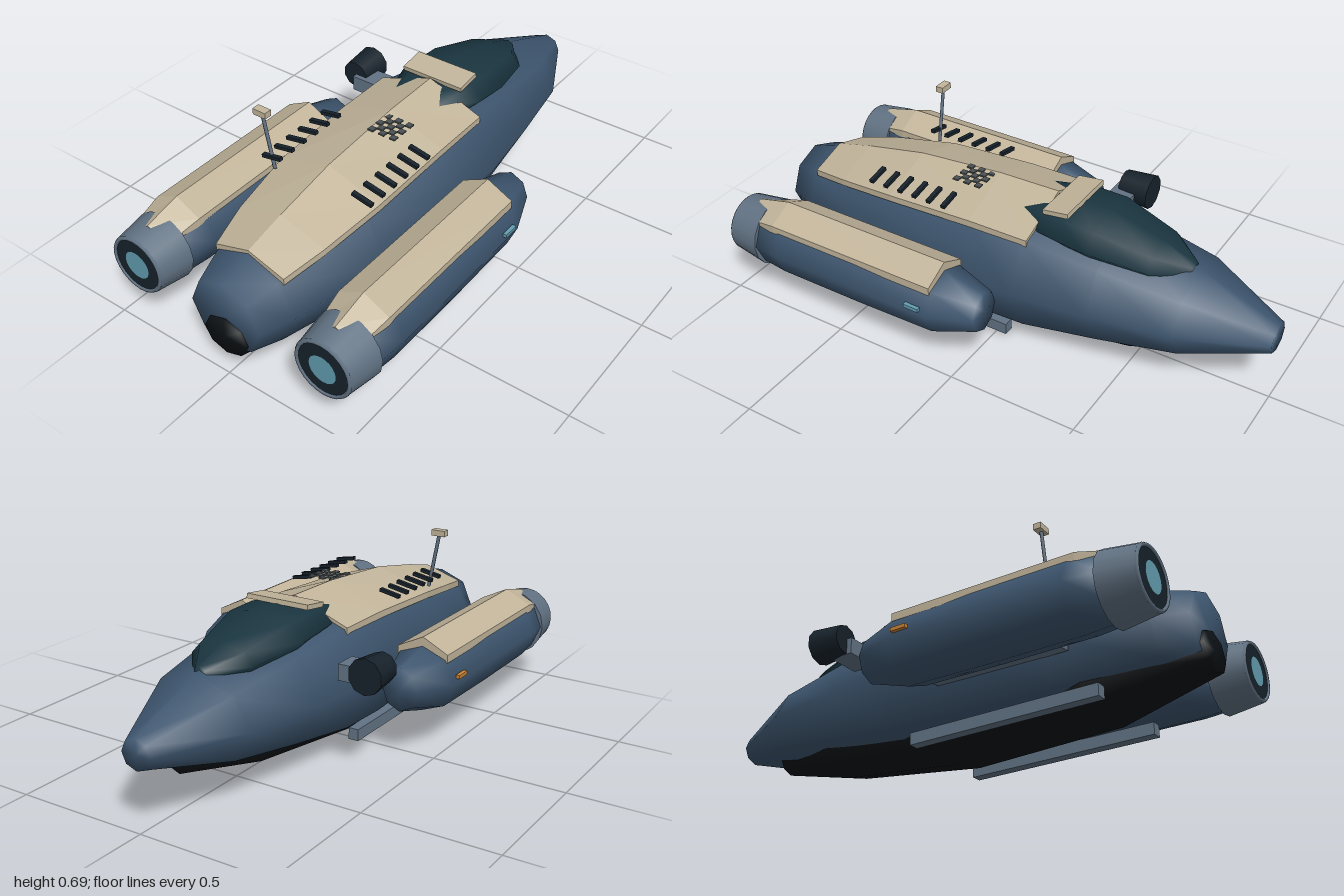
import * as THREE from 'three';

const mat = (color, extra = {}) => new THREE.MeshStandardMaterial({ color, ...extra });
const BLUE = mat(0x3d556e);
const CREAM = mat(0xc2b59b, { flatShading: true });
const GLASS = mat(0x1a3540);
const BLACK = mat(0x0d1216);
const DARK = mat(0x17222b);
const GREY = mat(0x627384);
const GLOW = mat(0x639db0);
const ORANGE = mat(0xc98235);

// Skin a list of equal-length rings (counter-clockwise seen from +z, ordered by z) and cap both ends
function loft(rings) {
  const n = rings[0].length, pos = rings.flat(2), idx = [];
  for (let i = 0; i < rings.length - 1; i++) {
    for (let j = 0; j < n; j++) {
      const a = i * n + j, b = i * n + (j + 1) % n;
      idx.push(a, b, b + n, a, b + n, a + n);
    }
  }
  [0, rings.length - 1].forEach((r) => {
    const c = pos.length / 3;
    for (let k = 0; k < 3; k++) pos.push(rings[r].reduce((s, p) => s + p[k], 0) / n);
    for (let j = 0; j < n; j++) {
      const a = r * n + j, b = r * n + (j + 1) % n;
      if (r) idx.push(c, a, b); else idx.push(c, b, a);
    }
  });
  const g = new THREE.BufferGeometry();
  g.setAttribute('position', new THREE.Float32BufferAttribute(pos, 3));
  g.setIndex(idx);
  g.computeVertexNormals();
  return g;
}

// Eight-sided body from stations [z, halfWidth, top, bottom]
const octBody = (stations) => loft(stations.map(([z, w, top, bottom]) =>
  Array.from({ length: 8 }, (_, k) => {
    const a = k * Math.PI / 4;
    return [w * Math.cos(a), (top + bottom) / 2 + (top - bottom) / 2 * Math.sin(a), z];
  })));

// Ridged roof plate from stations [z, halfWidth, ridgeY, edgeY]
const roofPlate = (stations, t) => loft(stations.map(([z, w, r, e]) => [
  [w, e - t, z], [w, e, z], [0, r, z], [-w, e, z], [-w, e - t, z], [0, r - t, z]]));

function add(parent, name, geometry, material, x = 0, y = 0, z = 0) {
  const m = new THREE.Mesh(geometry, material);
  m.name = name;
  m.position.set(x, y, z);
  parent.add(m);
  return m;
}
const box = (w, h, d) => new THREE.BoxGeometry(w, h, d);
// Cylinder lying along z: r1 at the +z end, r2 at the -z end
const zCyl = (r1, r2, len, sides) => new THREE.CylinderGeometry(r1, r2, len, sides).rotateX(Math.PI / 2);

function createEngine(side) {
  const g = new THREE.Group();
  g.name = side > 0 ? 'leftEngine' : 'rightEngine';
  g.position.set(side * 0.4, 0, 0);
  add(g, 'enginePod', octBody([
    [-0.08, 0.07, 0.35, 0.19], [0.08, 0.13, 0.385, 0.14], [0.4, 0.135, 0.395, 0.135],
    [0.75, 0.135, 0.395, 0.135], [0.88, 0.12, 0.375, 0.145]]), BLUE);
  add(g, 'engineTopPlate', roofPlate([
    [0.08, 0.1, 0.42, 0.37], [0.78, 0.1, 0.42, 0.37], [0.92, 0.08, 0.385, 0.34]], 0.03), CREAM);
  // Nozzle with a rim, dark throat and glowing core
  add(g, 'nozzle', zCyl(0.112, 0.13, 0.13, 16), GREY, 0, 0.26, 0.92);
  add(g, 'nozzleRim', new THREE.TorusGeometry(0.104, 0.008, 6, 24), GREY, 0, 0.26, 0.985);
  add(g, 'nozzleThroat', new THREE.CircleGeometry(0.102, 24), DARK, 0, 0.26, 0.987);
  add(g, 'nozzleCore', new THREE.CircleGeometry(0.055, 20), GLOW, 0, 0.26, 0.99);
  add(g, 'runningLight', box(0.015, 0.014, 0.06), side > 0 ? GLOW : ORANGE, side * 0.13, 0.287, 0.135);
  return g;
}

export function createModel() {
  const ship = new THREE.Group();
  ship.name = 'ship';

  // Fuselage, nose towards -z
  add(ship, 'hull', octBody([
    [-1, 0.06, 0.33, 0.22], [-0.7, 0.21, 0.445, 0.13], [-0.4, 0.26, 0.5, 0.07],
    [-0.12, 0.3, 0.555, 0.02], [0.1, 0.3, 0.55, 0.012], [0.5, 0.275, 0.51, 0.025],
    [0.87, 0.19, 0.425, 0.085], [0.99, 0.145, 0.39, 0.115]]), BLUE);
  add(ship, 'belly', octBody([
    [-0.8, 0.06, 0.25, 0.132], [-0.5, 0.15, 0.25, 0.06], [0, 0.205, 0.22, 0.005],
    [0.6, 0.185, 0.22, 0.022], [1, 0.09, 0.245, 0.1]]), BLACK);
  add(ship, 'canopy', octBody([
    [-0.68, 0.03, 0.462, 0.39], [-0.56, 0.13, 0.51, 0.39], [-0.35, 0.18, 0.565, 0.4],
    [-0.22, 0.18, 0.562, 0.43], [-0.02, 0.13, 0.54, 0.42]]), GLASS);
  add(ship, 'roofPanel', roofPlate([
    [-0.14, 0.22, 0.565, 0.482], [0.1, 0.22, 0.56, 0.48], [0.45, 0.215, 0.53, 0.46],
    [0.7, 0.182, 0.48, 0.425], [0.86, 0.145, 0.44, 0.395]], 0.025), CREAM);
  add(ship, 'lightBar', box(0.256, 0.018, 0.1), CREAM, 0, 0.562, -0.2).rotation.x = 0.14;

  // Checkered roof marking
  const checker = new THREE.Group();
  checker.name = 'checkerMarking';
  ship.add(checker);
  for (let i = 0; i < 5; i++) {
    for (let j = 0; j < 5; j++) {
      if ((i + j) % 2 === 0) add(checker, 'check', box(0.023, 0.006, 0.023), mat(0x4b5254), 0.0115 + i * 0.023, 0.552, 0.132 + j * 0.023);
    }
  }

  for (const s of [1, -1]) {
    ship.add(createEngine(s));
    add(ship, 'pylon', box(0.1, 0.06, 0.5), GREY, s * 0.29, 0.215, 0.35).rotation.z = -s * 0.15;
    add(ship, 'skid', box(0.04, 0.045, 0.74), GREY, s * 0.195, 0.0425, 0.32);
    for (let i = 0; i < 6; i++) {
      add(ship, 'vent', box(0.082, 0.013, 0.017), DARK, s * 0.194, 0.517, 0.2 + i * 0.063).rotation.z = -s * 0.19;
    }
  }

  // Sensor pod on the right flank
  add(ship, 'sensorMount', box(0.13, 0.06, 0.09), GREY, -0.33, 0.37, -0.225);
  add(ship, 'sensorPod', zCyl(0.055, 0.066, 0.12, 10), DARK, -0.4, 0.395, -0.26);

  // Leaning antenna
  const mast = add(ship, 'antennaMast', new THREE.CylinderGeometry(0.007, 0.007, 0.22, 6), GREY, -0.21, 0.575, 0.51);
  mast.rotation.z = 0.18;
  add(ship, 'antennaHead', box(0.055, 0.023, 0.03), CREAM, -0.23, 0.685, 0.51);
  return ship;
}
